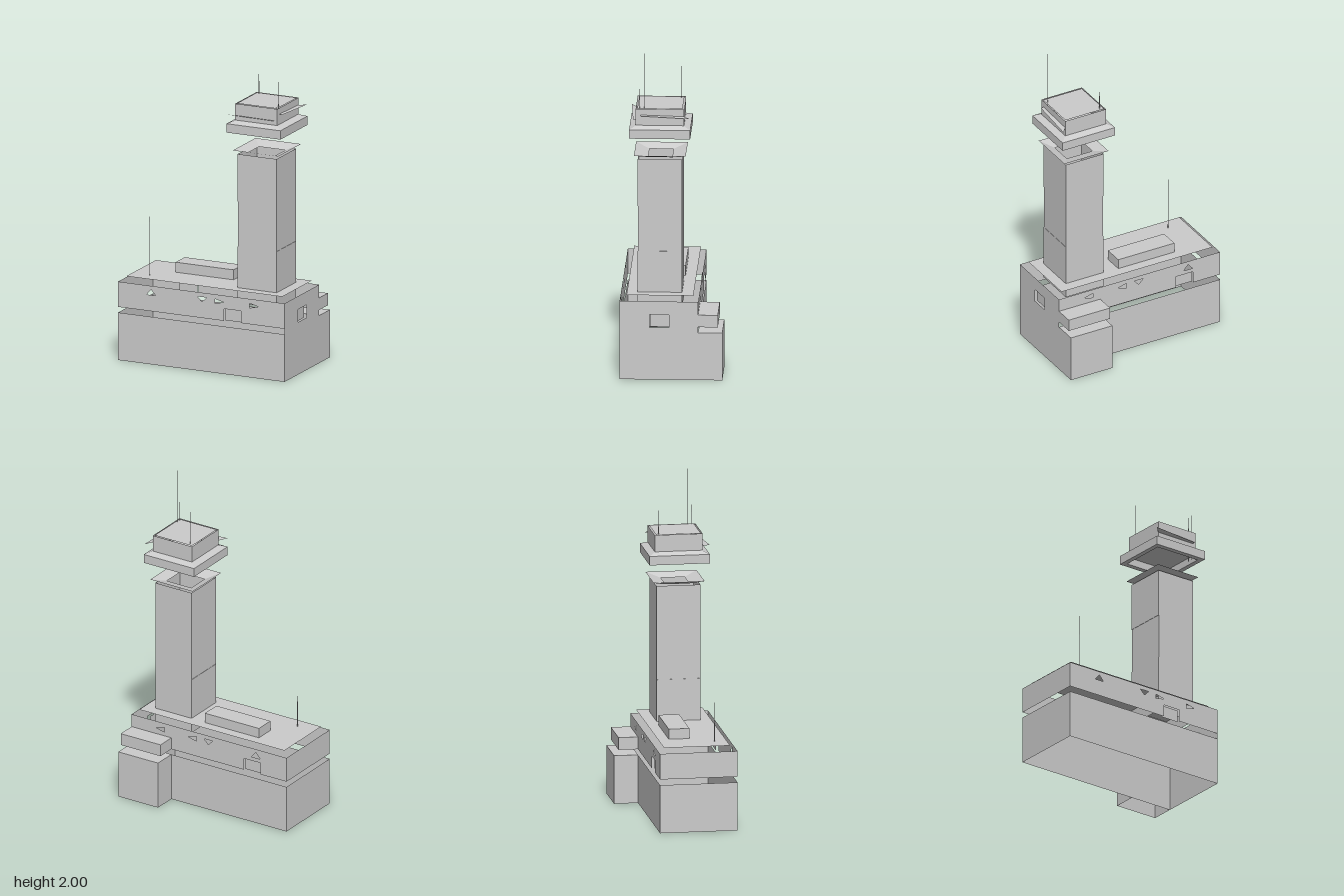
import * as THREE from 'three';

const material = new THREE.MeshStandardMaterial({
  color: 0xcccccc, flatShading: true, side: THREE.DoubleSide,
});

function add(parent, name, geometry, x = 0, y = 0, z = 0, ry = 0) {
  const mesh = new THREE.Mesh(geometry, material);
  mesh.name = name;
  mesh.position.set(x, y, z);
  mesh.rotation.y = ry;
  parent.add(mesh);
}

// Closed box given by its limits
function box(parent, name, x0, x1, y0, y1, z0, z1) {
  add(parent, name, new THREE.BoxGeometry(x1 - x0, y1 - y0, z1 - z0),
    (x0 + x1) / 2, (y0 + y1) / 2, (z0 + z1) / 2);
}

const rect = (x0, x1, y0, y1) => [[x0, y0], [x1, y0], [x1, y1], [x0, y1]];
const toPoints = list => list.map(([x, y]) => new THREE.Vector2(x, y));

// Thin upright panel with openings
function panel(parent, name, outline, holes, x, z, ry = 0) {
  const shape = new THREE.Shape(toPoints(outline));
  for (const hole of holes) shape.holes.push(new THREE.Path(toPoints(hole)));
  add(parent, name, new THREE.ShapeGeometry(shape), x, 0, z, ry);
}

// Thin faces from points and an index
function faces(parent, name, pos, index, x = 0, z = 0) {
  const geometry = new THREE.BufferGeometry();
  geometry.setAttribute('position', new THREE.Float32BufferAttribute(pos, 3));
  geometry.setIndex(index);
  const flat = geometry.toNonIndexed();
  flat.computeVertexNormals();
  add(parent, name, flat, x, 0, z);
}

// Square shell swept through [half x, half z, y] sections
function squareShell(parent, name, sections, x, z) {
  const pos = [], index = [];
  for (const [hx, hz, y] of sections) {
    pos.push(-hx, y, hz, hx, y, hz, hx, y, -hz, -hx, y, -hz);
  }
  for (let s = 0; s < sections.length - 1; s++) {
    for (let i = 0; i < 4; i++) {
      const a = s * 4 + i, b = s * 4 + (i + 1) % 4;
      index.push(a, b, b + 4, a, b + 4, a + 4);
    }
  }
  faces(parent, name, pos, index, x, z);
}

function plate(parent, name, x0, x1, y, z0, z1) {
  const geometry = new THREE.PlaneGeometry(x1 - x0, z1 - z0).rotateX(-Math.PI / 2);
  add(parent, name, geometry, (x0 + x1) / 2, y, (z0 + z1) / 2);
}

function antenna(parent, name, x, z, y0, y1) {
  add(parent, name, new THREE.CylinderGeometry(0.001, 0.002, y1 - y0, 6), x, (y0 + y1) / 2, z);
}

export function createModel() {
  const model = new THREE.Group();
  const W = 0.555, FRONT = 0.31, BACK = -0.16;

  // Terminal: lower and upper wall bands with an open strip between them
  const hall = new THREE.Group();
  hall.name = 'terminalHall';
  model.add(hall);
  const triangles = [
    [[-0.365, 0.43], [-0.305, 0.43], [-0.335, 0.465]],
    [[-0.025, 0.46], [0.005, 0.43], [0.035, 0.46]],
    [[0.09, 0.43], [0.15, 0.445], [0.09, 0.46]],
    [[0.32, 0.43], [0.38, 0.445], [0.32, 0.46]],
  ];
  const upperBand = (d0, d1) => [[-W, 0.33], [d0, 0.33], [d0, 0.405], [d1, 0.405],
    [d1, 0.33], [W, 0.33], [W, 0.487], [-W, 0.487]];
  panel(hall, 'frontLowerWall', rect(-W, W, 0, 0.295), [], 0, FRONT);
  panel(hall, 'backLowerWall', rect(-W, W, 0, 0.295), [], 0, BACK);
  panel(hall, 'frontUpperWall', upperBand(0.15, 0.265), triangles, 0, FRONT);
  panel(hall, 'backUpperWall', upperBand(-0.37, -0.25), triangles, 0, BACK);
  panel(hall, 'rightEndLowerWall', rect(-FRONT, -BACK, 0, 0.295), [], -W, 0, Math.PI / 2);
  panel(hall, 'rightEndUpperWall', rect(-FRONT, -BACK, 0.33, 0.487), [], -W, 0, Math.PI / 2);
  panel(hall, 'leftEndWall', rect(-FRONT, -BACK, 0, 0.487),
    [rect(-0.13, -0.015, 0.325, 0.405)], W, 0, Math.PI / 2);

  // Panels set back in the openings
  panel(hall, 'frontDoor', rect(0.15, 0.265, 0.33, 0.405), [], 0, FRONT - 0.015);
  panel(hall, 'backDoor', rect(-0.37, -0.25, 0.33, 0.405), [], 0, BACK + 0.015);
  panel(hall, 'leftEndDoor', rect(-0.13, -0.015, 0.325, 0.405), [], W - 0.015, 0, Math.PI / 2);

  // Roof sheet raised above the walls
  plate(hall, 'terminalRoof', -0.52, 0.52, 0.515, -0.13, 0.27);
  box(hall, 'roofBlock', -0.295, 0.092, 0.515, 0.577, -0.065, 0.06);
  antenna(hall, 'roofAntenna', -0.4, 0.195, 0.515, 0.88);

  // Rear annex
  const annex = new THREE.Group();
  annex.name = 'rearAnnex';
  model.add(annex);
  panel(annex, 'annexBackWall', rect(0.27, W, 0, 0.295), [], 0, -0.305);
  for (const x of [0.27, W]) {
    panel(annex, 'annexSideWall', rect(0.16, 0.305, 0, 0.295), [], x, 0, Math.PI / 2);
  }
  plate(annex, 'annexRoof', 0.27, W, 0.295, -0.305, BACK);
  box(annex, 'annexUpperBlock', 0.27, W, 0.33, 0.405, -0.278, BACK);

  // Control tower shaft in three slightly offset lifts, open at the top
  const tower = new THREE.Group();
  tower.name = 'controlTower';
  model.add(tower);
  const CX = 0.321, CZ = 0.073;
  squareShell(tower, 'towerShaft', [
    [0.13, 0.133, 0.42], [0.13, 0.133, 0.77], [0.128, 0.133, 0.77],
    [0.128, 0.133, 1.05], [0.13, 0.133, 1.05], [0.13, 0.133, 1.345],
  ], CX, CZ);
  squareShell(tower, 'flaredCollar', [[0.088, 0.072, 1.345], [0.152, 0.155, 1.37]], CX, CZ);

  // Cab: wide band with a sloped shoulder and a recessed underside
  const cab = new THREE.Group();
  cab.name = 'controlCab';
  model.add(cab);
  squareShell(cab, 'cabBand', [
    [0.15, 0.15, 1.53], [0.15, 0.15, 1.485], [0.18, 0.183, 1.485],
    [0.18, 0.183, 1.54], [0.133, 0.136, 1.56],
  ], CX, CZ);
  plate(cab, 'cabFloor', CX - 0.15, CX + 0.15, 1.53, CZ - 0.15, CZ + 0.15);
  squareShell(cab, 'cabUpperWalls', [[0.14, 0.145, 1.558], [0.14, 0.145, 1.66]], CX, CZ);
  plate(cab, 'cabRoof', CX - 0.133, CX + 0.133, 1.66, CZ - 0.135, CZ + 0.135);

  // Thin tapering fins along the front and the left side
  faces(cab, 'frontFin', [0.14, 1.597, 0.255, 0.18, 1.587, 0.217, 0.44, 1.585, 0.217,
    0.44, 1.588, 0.235], [0, 1, 2, 0, 2, 3]);
  faces(cab, 'sideFin', [0.495, 1.61, -0.11, 0.46, 1.615, -0.07, 0.46, 1.622, 0.19,
    0.48, 1.62, 0.19], [0, 1, 2, 0, 2, 3]);

  // Cab antennas
  antenna(cab, 'tallAntenna', 0.445, 0.168, 1.49, 2);
  antenna(cab, 'shortAntenna', 0.445, 0.195, 1.49, 1.78);
  antenna(cab, 'rearAntenna', 0.21, -0.045, 1.65, 1.87);

  return model;
}
